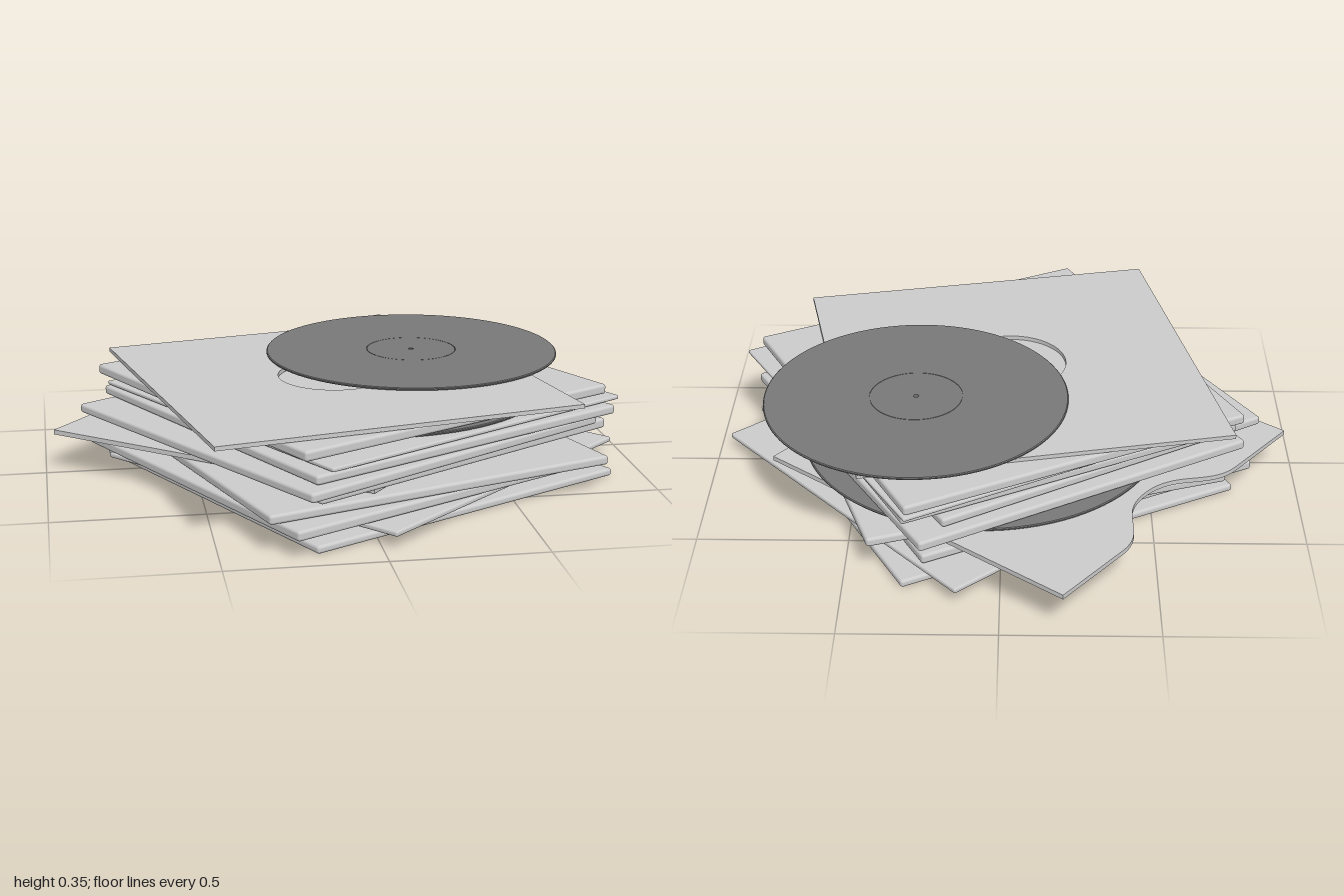
import * as THREE from 'three';
import { RoundedBoxGeometry } from 'three/addons/geometries/RoundedBoxGeometry.js';

const SIZE = 1.24;
const paper = new THREE.MeshStandardMaterial({ color: 0xcccccc });
const vinyl = new THREE.MeshStandardMaterial({ color: 0x787878 });

// angle: direction of the sleeve's right-hand corner, in degrees towards the front
function place(geometry, material, name, x, y, z, angle = 45) {
  const mesh = new THREE.Mesh(geometry, material);
  mesh.name = name;
  mesh.position.set(x, y, z);
  mesh.rotation.y = THREE.MathUtils.degToRad(45 - angle);
  return mesh;
}

// Closed cardboard jacket with softened edges
function jacketGeometry(thickness) {
  return new RoundedBoxGeometry(SIZE, thickness, SIZE, 3, Math.min(0.01, thickness * 0.4))
    .translate(0, thickness / 2, 0);
}

// Thin flat sleeve cut from an outline, lying down with its base at y = 0
function flatGeometry(shape, thickness) {
  return new THREE.ExtrudeGeometry(shape, { depth: thickness, bevelEnabled: false, curveSegments: 32 })
    .rotateX(-Math.PI / 2);
}

// Square sleeve with a round window in the middle
function windowSleeve() {
  const h = SIZE / 2;
  const shape = new THREE.Shape([[-h, -h], [h, -h], [h, h], [-h, h]].map(p => new THREE.Vector2(...p)));
  shape.holes.push(new THREE.Path().absarc(0, 0, 0.19, 0, Math.PI * 2, true));
  return flatGeometry(shape, 0.014);
}

// Square sleeve with a curved thumb cut along one edge
function thumbCutSleeve() {
  const h = SIZE / 2;
  const shape = new THREE.Shape();
  shape.moveTo(-h, -h);
  shape.lineTo(h, -h);
  shape.lineTo(h, h);
  shape.lineTo(0.32, h);
  shape.bezierCurveTo(0.17, h, 0.17, h - 0.14, 0, h - 0.14);
  shape.bezierCurveTo(-0.17, h - 0.14, -0.17, h, -0.32, h);
  shape.lineTo(-h, h);
  shape.closePath();
  return flatGeometry(shape, 0.016);
}

// Disc with a spindle hole and a shallow step around the label
function recordGeometry(radius, thickness = 0.009) {
  const hole = 0.009, label = 0.155, t = thickness, step = 0.002;
  const profile = [
    [hole, 0], [radius - 0.003, 0], [radius, t * 0.3], [radius, t * 0.7], [radius - 0.003, t],
    [label + 0.002, t], [label + 0.002, t - step], [label, t - step], [label, t], [hole, t], [hole, 0],
  ];
  // Repeating inner points keeps the edges of the profile crisp
  const points = profile.flatMap(([r, y], i) => {
    const p = new THREE.Vector2(r, y);
    return i === 0 || i === profile.length - 1 ? [p] : [p, p.clone()];
  });
  const g = new THREE.BufferGeometry();
  const seg = 96, pos = [], nor = [], idx = [];
  for (let k = 0; k < points.length; k += 2) {
    const a = points[k], b = points[k + 1];
    const n = new THREE.Vector2(b.y - a.y, a.x - b.x).normalize();
    for (let s = 0; s <= seg; s++) {
      const c = Math.cos(s / seg * Math.PI * 2), d = Math.sin(s / seg * Math.PI * 2);
      for (const p of [a, b]) {
        pos.push(p.x * c, p.y, p.x * d);
        nor.push(n.x * c, n.y, n.x * d);
      }
      if (s < seg) {
        const i = k * (seg + 1) + s * 2;
        idx.push(i, i + 1, i + 2, i + 1, i + 3, i + 2);
      }
    }
  }
  g.setAttribute('position', new THREE.Float32BufferAttribute(pos, 3));
  g.setAttribute('normal', new THREE.Float32BufferAttribute(nor, 3));
  g.setIndex(idx);
  return g;
}

export function createModel() {
  const group = new THREE.Group();
  group.name = 'recordStack';

  // Jackets from bottom to top: x, base y, z, thickness, corner angle
  const jackets = [
    [0.055, 0.0, 0.075, 0.026, 17],
    [0.09, 0.038, 0.03, 0.019, 3.2],
    [-0.01, 0.06, 0.12, 0.033, 17],
    [0.04, 0.095, 0.11, 0.031, 26],
    [0.03, 0.155, 0.06, 0.034, 14.5],
    [-0.025, 0.192, 0.145, 0.031, 13.5],
    [0.05, 0.225, 0.095, 0.031, 17],
    [0.07, 0.259, 0.07, 0.014, 15],
    [0.03, 0.285, 0.052, 0.034, 17.5],
  ];
  jackets.forEach(([x, y, z, t, angle], i) =>
    group.add(place(jacketGeometry(t), paper, `jacket${i + 1}`, x, y, z, angle)));

  // Thin inner sleeves
  group.add(place(thumbCutSleeve(), paper, 'thumbCutSleeve', -0.098, 0.129, -0.118, -6.3));
  group.add(place(windowSleeve(), paper, 'windowSleeve', -0.025, 0.321, 0.11, 33));

  // Loose records
  group.add(place(recordGeometry(0.61), vinyl, 'lowerRecord', 0.07, 0.1455, -0.045));
  group.add(place(recordGeometry(0.61), vinyl, 'middleRecord', 0.09, 0.2745, 0.05));
  group.add(place(recordGeometry(0.51), vinyl, 'topRecord', 0.29, 0.3365, -0.147));
  return group;
}
